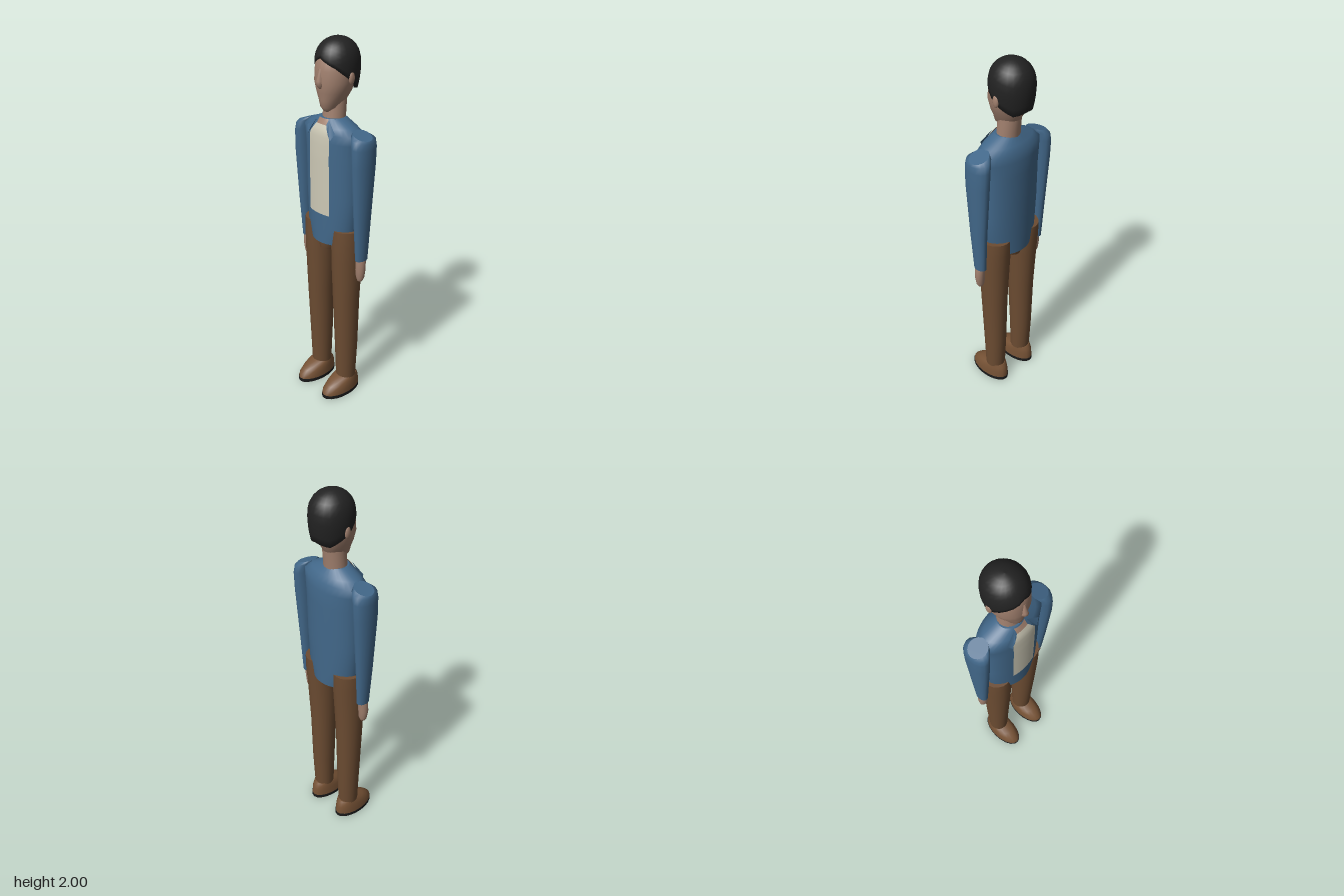
import * as THREE from 'three';

const paint = (name, color, side = THREE.FrontSide) => {
  const m = new THREE.MeshStandardMaterial({ color, side });
  m.name = name;
  return m;
};

// Builds a geometry from a list of equal rings (bottom to top), with optional flat caps
function skinRings(rings, caps = true) {
  const n = rings[0].length, pos = rings.flat(2), idx = [];
  for (let j = 0; j < rings.length - 1; j++) {
    for (let i = 0; i < n; i++) {
      const k = (i + 1) % n, a = j * n + i, b = j * n + k;
      idx.push(a, b, b + n, a, b + n, a + n);
    }
  }
  if (caps) {
    [[rings[0], false], [rings[rings.length - 1], true]].forEach(([ring, up]) => {
      const start = pos.length / 3;
      pos.push(...ring.flat());
      for (let i = 1; i < n - 1; i++) {
        idx.push(start, start + (up ? i : i + 1), start + (up ? i + 1 : i));
      }
    });
  }
  const g = new THREE.BufferGeometry();
  g.setAttribute('position', new THREE.Float32BufferAttribute(pos, 3));
  g.setIndex(idx);
  g.computeVertexNormals();
  return g;
}

// Elliptical cross-sections: [y, centreX, halfWidth, zFront, zBack, tilt]
function loft(sections, sides = 20, mirror = 1) {
  return skinRings(sections.map(([y, cx, rx, zf, zb, tilt = 0]) =>
    Array.from({ length: sides }, (_, i) => {
      const t = (i / sides) * Math.PI * 2, dx = Math.sin(t) * rx;
      return [cx * mirror + dx, y - tilt * dx * mirror, (zf + zb) / 2 + Math.cos(t) * (zf - zb) / 2];
    })));
}

const TORSO = [
  [0.94, 0, 0.13, 0.088, -0.118],
  [1.03, 0, 0.165, 0.088, -0.12],
  [1.2, 0, 0.175, 0.088, -0.122],
  [1.42, 0, 0.178, 0.088, -0.124],
  [1.5, 0, 0.188, 0.086, -0.122],
  [1.545, 0, 0.195, 0.082, -0.113],
  [1.575, 0, 0.15, 0.072, -0.095],
  [1.612, 0, 0.068, 0.05, -0.068],
];

// Front surface of the jacket at a given x and y
function chestZ(x, y) {
  let j = 0;
  while (j < TORSO.length - 2 && TORSO[j + 1][0] < y) j++;
  const a = TORSO[j], b = TORSO[j + 1], t = (y - a[0]) / (b[0] - a[0]);
  const [rx, zf, zb] = [2, 3, 4].map(k => a[k] + (b[k] - a[k]) * t);
  return (zf + zb) / 2 + (zf - zb) / 2 * Math.sqrt(Math.max(0, 1 - (x / rx) ** 2));
}

// Curved plate lying on the chest
function chestPlate(y0, y1, halfWidth, lift) {
  const g = new THREE.PlaneGeometry(2, 1, 8, 24), p = g.attributes.position;
  for (let i = 0; i < p.count; i++) {
    const y = y0 + (p.getY(i) + 0.5) * (y1 - y0), x = p.getX(i) * halfWidth(y);
    p.setXYZ(i, x, y, chestZ(x, y) + lift);
  }
  g.computeVertexNormals();
  return g;
}

// Hair cap whose lower edge follows a hairline around the head
function hairCap() {
  const sides = 24, line = [1.91, 1.865, 1.795, 1.748, 1.765];
  const ring = (f, inset = 1) => Array.from({ length: sides }, (_, i) => {
    const t = (i / sides) * Math.PI * 2;
    const u = Math.min(i, sides - i) / (sides / 2) * 4, k = Math.min(3, Math.floor(u));
    const low = line[k] + (line[k + 1] - line[k]) * (u - k);
    const y = low + (2.0 - low) * f;
    const above = Math.max(0, (y - 1.87) / 0.13), below = Math.max(0, (1.87 - y) / 0.13);
    const r = Math.pow(Math.max(0, 1 - above ** 2.4), 0.5) * (1 - 0.16 * below ** 2) * inset;
    return [Math.sin(t) * 0.109 * r, y, -0.038 + Math.cos(t) * 0.117 * r];
  });
  return skinRings([ring(0, 0.8), ...[0, 0.15, 0.3, 0.45, 0.6, 0.72, 0.82, 0.9, 0.96, 0.99, 1].map(f => ring(f))], false);
}

export function createModel() {
  const model = new THREE.Group();
  model.name = 'standingMan';
  const skin = paint('skin', 0xa1806e, THREE.DoubleSide);
  const hair = paint('hair', 0x222222);
  const jacket = paint('jacketBlue', 0x42688a, THREE.DoubleSide);
  const cream = paint('shirtCream', 0xcdc9b6, THREE.DoubleSide);
  const trousers = paint('trouserBrown', 0x6c4c32);
  const leather = paint('shoeBrown', 0x765235);
  const rubber = paint('soleBlack', 0x1b1b1b);

  const add = (name, geometry, material) => {
    const mesh = new THREE.Mesh(geometry, material);
    mesh.name = name;
    model.add(mesh);
    return mesh;
  };

  // Head
  add('head', loft([
    [1.642, 0, 0.022, 0.045, -0.02],
    [1.665, 0, 0.045, 0.064, -0.06],
    [1.7, 0, 0.06, 0.069, -0.085],
    [1.74, 0, 0.083, 0.075, -0.105],
    [1.79, 0, 0.099, 0.083, -0.12],
    [1.85, 0, 0.103, 0.078, -0.14],
    [1.92, 0, 0.098, 0.07, -0.14],
    [1.96, 0, 0.06, 0.03, -0.1],
  ], 24), skin);
  add('nose', loft([
    [1.762, 0, 0.012, 0.082, 0.05],
    [1.782, 0, 0.02, 0.098, 0.05],
    [1.8, 0, 0.017, 0.097, 0.05],
    [1.86, 0, 0.008, 0.08, 0.05],
  ], 10), skin);
  add('neck', loft([
    [1.57, 0, 0.064, 0.048, -0.072],
    [1.63, 0, 0.06, 0.04, -0.075],
    [1.72, 0, 0.056, 0.034, -0.085],
  ]), skin);
  add('hair', hairCap(), hair);

  // Jacket body, shirt front, open neck and hips
  add('jacketBody', loft(TORSO, 32), jacket);
  add('shirtFront', chestPlate(1.11, 1.585, y => y < 1.53 ? 0.072 : 0.072 - (y - 1.53) * 0.65, 0.006), cream);
  add('openNeck', chestPlate(1.582, 1.611, () => 0.034, 0.005), skin);
  add('hips', loft([
    [0.895, 0, 0.052, 0.07, -0.09],
    [0.94, 0, 0.075, 0.08, -0.105],
    [0.99, 0, 0.1, 0.08, -0.105],
  ]), trousers);

  for (const [side, s] of [['left', 1], ['right', -1]]) {
    // Collar flap
    const flap = [[0.042, 1.608], [0.058, 1.565], [0.083, 1.52], [0.103, 1.558]];
    const collar = new THREE.BufferGeometry();
    collar.setAttribute('position', new THREE.Float32BufferAttribute(
      flap.flatMap(([x, y]) => [x * s, y, chestZ(x, y) + 0.013]), 3));
    collar.setIndex(s > 0 ? [0, 1, 2, 0, 2, 3] : [0, 2, 1, 0, 3, 2]);
    collar.computeVertexNormals();
    add(side + 'Collar', collar, jacket);

    // Ear
    const ear = add(side + 'Ear', new THREE.SphereGeometry(1, 12, 8), skin);
    ear.scale.set(0.011, 0.032, 0.018);
    ear.position.set(0.103 * s, 1.815, -0.035);

    // Sleeve with sloped shoulder
    add(side + 'Sleeve', loft([
      [0.88, 0.21, 0.026, 0.02, -0.055],
      [1.1, 0.213, 0.034, 0.036, -0.068],
      [1.4, 0.214, 0.045, 0.055, -0.09],
      [1.5, 0.212, 0.047, 0.056, -0.095, 0.15],
      [1.542, 0.206, 0.051, 0.05, -0.09, 0.3],
      [1.556, 0.2, 0.05, 0.03, -0.068, 0.34],
    ], 16, s), jacket);

    // Hand
    add(side + 'Hand', loft([
      [0.755, 0.207, 0.015, 0, -0.025],
      [0.775, 0.208, 0.024, 0.007, -0.033],
      [0.82, 0.21, 0.028, 0.013, -0.038],
      [0.865, 0.21, 0.026, 0.013, -0.042],
      [0.89, 0.21, 0.021, 0.012, -0.045],
    ], 14, s), skin);

    // Trouser leg
    add(side + 'Leg', loft([
      [0.095, 0.103, 0.055, 0.042, -0.07],
      [0.3, 0.104, 0.061, 0.05, -0.08],
      [0.6, 0.104, 0.07, 0.063, -0.086],
      [0.85, 0.104, 0.079, 0.072, -0.1],
      [0.95, 0.105, 0.081, 0.073, -0.108],
      [1.03, 0.105, 0.08, 0.071, -0.11],
    ], 20, s), trousers);

    // Shoe and sole
    add(side + 'Shoe', loft([
      [0.018, 0.104, 0.066, 0.153, -0.1],
      [0.04, 0.104, 0.065, 0.148, -0.099],
      [0.065, 0.104, 0.062, 0.122, -0.095],
      [0.085, 0.103, 0.058, 0.09, -0.088],
      [0.102, 0.103, 0.052, 0.04, -0.075],
    ], 20, s), leather);
    add(side + 'Sole', loft([
      [0, 0.104, 0.066, 0.154, -0.101],
      [0.02, 0.104, 0.067, 0.155, -0.102],
    ], 20, s), rubber);
  }
  return model;
}
